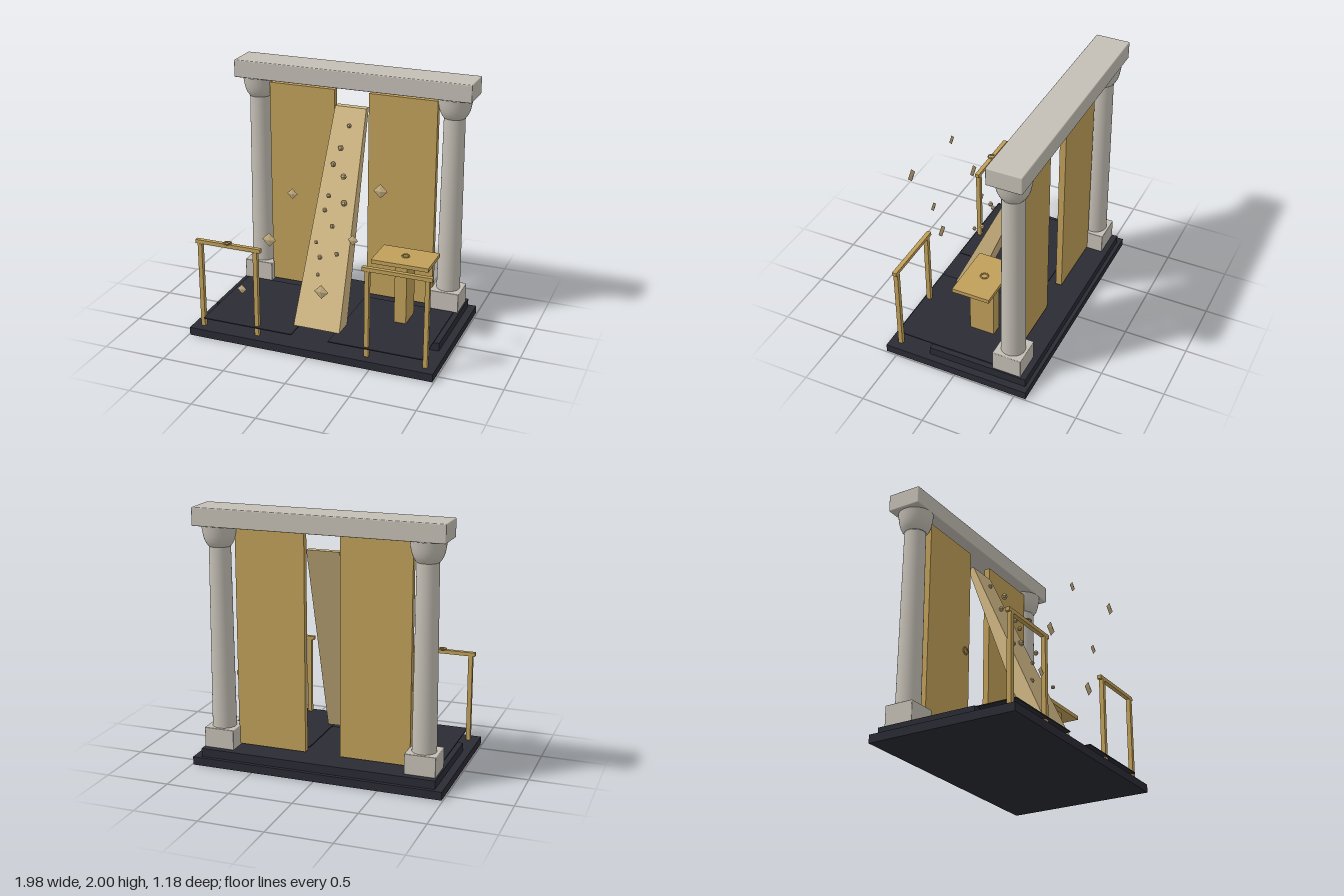
import * as THREE from 'three';
import { RoundedBoxGeometry } from 'three/addons/geometries/RoundedBoxGeometry.js';

const material = (name, color) => {
  const m = new THREE.MeshStandardMaterial({ color });
  m.name = name;
  return m;
};

export function createModel() {
  const model = new THREE.Group();
  const stone = material('pale stone', 0xc4bfb5);
  const dark = material('dark slate', 0x2a2b34);
  const gold = material('dull gold', 0xc09f59);
  const glow = material('pale gold', 0xd2b884);
  const gem = material('shard gold', 0xc8b183);
  gem.flatShading = true;

  const add = (name, geometry, mat, x = 0, y = 0, z = 0) => {
    const mesh = new THREE.Mesh(geometry, mat);
    mesh.name = name;
    mesh.position.set(x, y, z);
    model.add(mesh);
    return mesh;
  };
  // Box given by its limits on each axis, with an optional soft edge
  const box = (name, mat, [x0, x1], [y0, y1], [z0, z1], r = 0) => add(
    name,
    r ? new RoundedBoxGeometry(x1 - x0, y1 - y0, z1 - z0, 2, r)
      : new THREE.BoxGeometry(x1 - x0, y1 - y0, z1 - z0),
    mat, (x0 + x1) / 2, (y0 + y1) / 2, (z0 + z1) / 2);
  const span = (side, a, b) => (side > 0 ? [a, b] : [-b, -a]);
  const ring = (name, x, y, z, flat = true) => {
    const mesh = add(name, new THREE.TorusGeometry(0.028, 0.006, 8, 24), gold, x, y, z);
    if (flat) mesh.rotation.x = Math.PI / 2;
  };

  // Stepped base
  box('base', dark, [-0.99, 0.99], [0, 0.064], [-0.59, 0.59]);
  box('step', dark, [-0.93, 0.93], [0.064, 0.13], [-0.56, 0.24]);

  // Lintel
  box('lintel', stone, [-0.963, 0.963], [1.86, 2], [-0.54, -0.27], 0.008);

  const capital = [[0.084, 1.7], [0.1, 1.722], [0.114, 1.75], [0.123, 1.785], [0.129, 1.82], [0.134, 1.86]]
    .map(([r, y]) => new THREE.Vector2(r, y));
  for (const side of [1, -1]) {
    // Floor leaf on each side
    box('floorLeaf', dark, span(side, 0.15, 0.89), [0.135, 0.143], [-0.27, 0.54]);

    // Column
    box('pedestal', stone, span(side, 0.68, 0.92), [0.13, 0.29], [-0.515, -0.285], 0.006);
    add('shaft', new THREE.CylinderGeometry(0.082, 0.093, 1.41, 32), stone, side * 0.802, 0.995, -0.403);
    add('capital', new THREE.LatheGeometry(capital, 32), stone, side * 0.802, 0, -0.403);

    // Tall door panel
    box('door', gold, span(side, 0.14, 0.688), [0.143, 1.83], [-0.385, -0.335]);

    // Railing
    box('rail', gold, span(side, 0.405, 0.945), [0.762, 0.792], [0.483, 0.517]);
    for (const x of [0.447, 0.908]) {
      box('railPost', gold, [side * x - 0.017, side * x + 0.017], [0.064, 0.762], [0.485, 0.52]);
    }
  }

  // Leaning ramp that narrows and thins towards the top
  const ramp = new THREE.BoxGeometry(1, 1, 1);
  const p = ramp.attributes.position;
  for (let i = 0; i < p.count; i++) {
    const top = p.getY(i) > 0, front = p.getZ(i) > 0;
    p.setXYZ(i,
      Math.sign(p.getX(i)) * (top ? 0.127 : 0.188),
      top ? 1.71 : 0.147,
      top ? (front ? -0.315 : -0.37) : (front ? 0.402 : 0.235));
  }
  ramp.computeVertexNormals();
  add('ramp', ramp, glow);

  // Table
  box('tableTop', gold, [0.33, 0.787], [0.632, 0.663], [-0.195, 0.107]);
  box('tableLeg', gold, [0.508, 0.604], [0.13, 0.632], [-0.142, 0.058]);

  // Rings
  ring('tableRing', 0.558, 0.667, -0.047);
  ring('railRing', -0.68, 0.797, 0.5);
  ring('floorRing', 0, 0.139, 0.1);
  ring('doorRing', -0.2, 0.953, -0.328, false);

  // Small beads drifting along the ramp: x, y, z, radius
  for (const [x, y, z, r] of [
    [0.015, 1.583, -0.245, 0.018], [0, 1.448, -0.105, 0.025], [-0.058, 1.312, -0.097, 0.021],
    [0.05, 1.247, -0.037, 0.025], [-0.035, 1.112, 0.055, 0.02], [0.07, 1.046, 0.003, 0.025],
    [-0.078, 0.977, 0.028, 0.018], [0.034, 0.911, 0.156, 0.02], [-0.082, 0.776, 0.195, 0.016],
    [0.09, 0.709, 0.205, 0.02], [-0.06, 0.646, 0.175, 0.019], [-0.015, 0.574, 0.328, 0.016],
  ]) add('bead', new THREE.SphereGeometry(r, 6, 4), gem, x, y, z);

  // Thin floating shards at the front: x, y, z, radius
  for (const [x, y, z, r] of [
    [0.55, 1.41, 0.538, 0.053], [-0.112, 1.303, 0.56, 0.04], [0.33, 0.981, 0.494, 0.04],
    [-0.335, 0.879, 0.495, 0.056], [0.107, 0.556, 0.558, 0.056], [-0.553, 0.45, 0.535, 0.039],
  ]) add('shard', new THREE.OctahedronGeometry(r), gem, x, y, z).scale.z = 0.25;

  return model;
}
